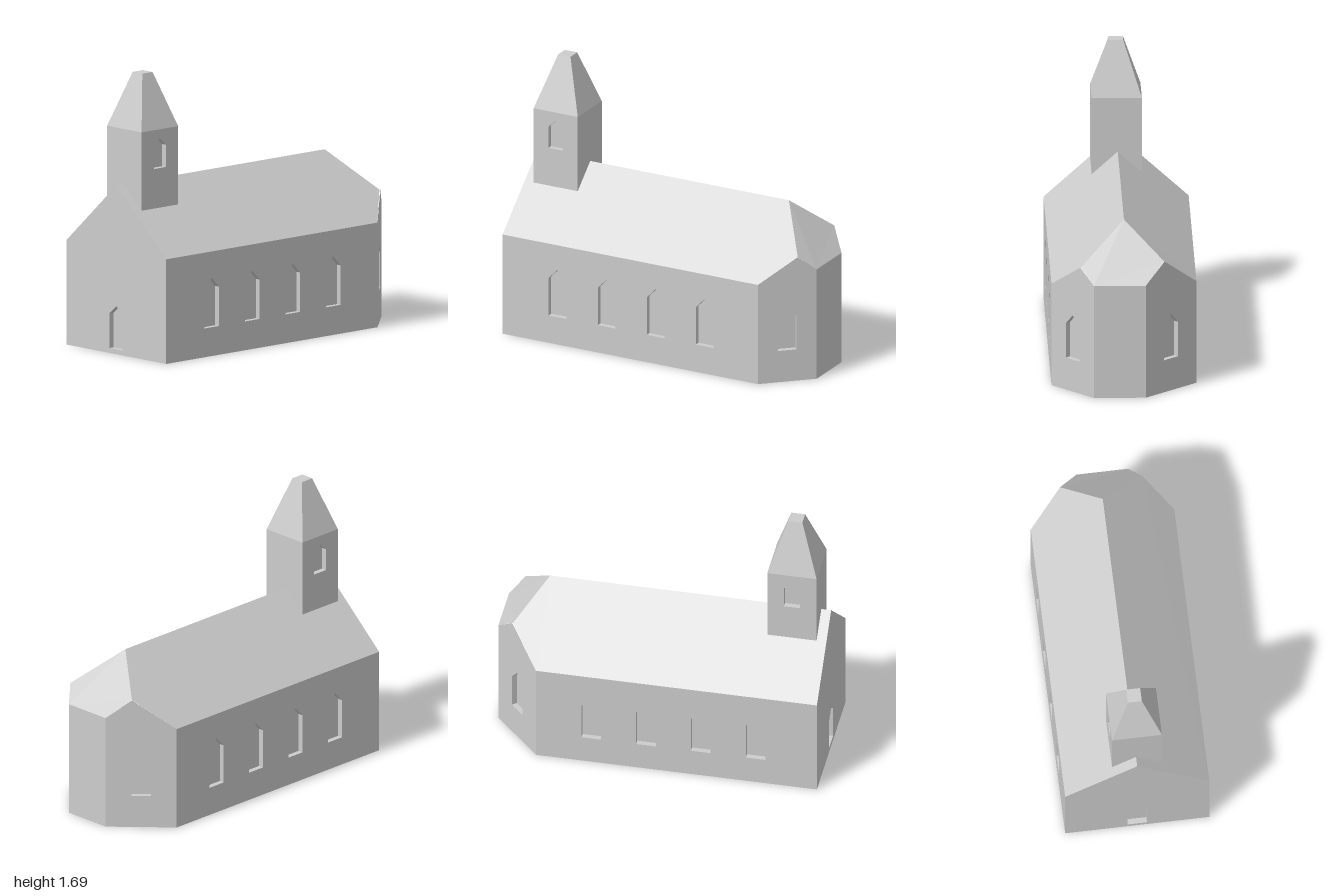
import * as THREE from 'three';

const stone = new THREE.MeshStandardMaterial({ color: 0xcccccc });
stone.name = 'paleStone';

const v3 = (p) => new THREE.Vector3(...p);

// Flat convex faces, corners counter-clockwise from outside
function faces(name, polygons) {
  const points = [];
  for (const poly of polygons)
    for (let i = 1; i < poly.length - 1; i++) points.push(v3(poly[0]), v3(poly[i]), v3(poly[i + 1]));
  const geometry = new THREE.BufferGeometry().setFromPoints(points);
  geometry.computeVertexNormals();
  const mesh = new THREE.Mesh(geometry, stone);
  mesh.name = name;
  return mesh;
}

// Pointed opening: centre, width, sill, shoulder and apex heights
const opening = (u, w, sill, shoulder, apex) =>
  [[u - w / 2, sill], [u + w / 2, sill], [u + w / 2, shoulder], [u, apex], [u - w / 2, shoulder]];

const toPath = (pts, Type) => new Type(pts.map(([u, v]) => new THREE.Vector2(u, v)));

// Upright wall from ground point a to b ([x, z]) with recessed openings
function wall(name, a, b, outline, openings = [], depth = 0.033) {
  const group = new THREE.Group();
  group.name = name;
  const shape = toPath(outline, THREE.Shape);
  shape.holes = openings.map((o) => toPath(o, THREE.Path));
  const face = new THREE.Mesh(new THREE.ShapeGeometry(shape), stone);
  face.name = 'wallFace';
  group.add(face);

  for (const o of openings) {
    const pane = new THREE.Mesh(new THREE.ShapeGeometry(toPath(o, THREE.Shape)), stone);
    pane.name = 'recessBack';
    pane.position.z = -depth;
    const reveal = faces('recessReveal', o.map((p, i) => {
      const q = o[(i + 1) % o.length];
      return [[...p, 0], [...q, 0], [...q, -depth], [...p, -depth]];
    }));
    group.add(pane, reveal);
  }
  group.position.set(a[0], 0, a[1]);
  group.rotation.y = Math.atan2(-(b[1] - a[1]), b[0] - a[0]);
  return group;
}

const dist = (a, b) => Math.hypot(b[0] - a[0], b[1] - a[1]);

function createNave() {
  const nave = new THREE.Group();
  nave.name = 'nave';
  const eave = 0.635, ridge = 1.025, apseTop = 0.7, half = 0.433;

  // Footprint, counter-clockwise from above
  const plan = [[-1, half], [0.735, half], [1, 0.187], [1, -0.123], [0.71, -half], [-1, -half]];
  const [A, B, C, D, E, F] = plan;
  // Points where the hip meets the main roof
  const hipF = [0.912, 0.79, 0.262], hipB = [0.89, 0.817, -0.235];
  const ridgeEnd = [0.71, ridge, 0], ridgeStart = [-1, ridge, 0];
  const at = ([x, z], y) => [x, y, z];

  // Side walls with four windows each
  const windowX = [-0.627, -0.293, 0.04, 0.373];
  const sideWindow = (u) => opening(u, 0.12, 0.175, 0.414, 0.477);
  const rect = (L) => [[0, 0], [L, 0], [L, eave], [0, eave]];
  nave.add(wall('frontWall', A, B, rect(dist(A, B)), windowX.map((x) => sideWindow(x + 1))));
  nave.add(wall('backWall', E, F, rect(dist(E, F)), windowX.map((x) => sideWindow(E[0] - x))));

  // Slanted apse walls, one window each, rising to the hip
  const lf = dist(B, C), uf = dist(B, [hipF[0], hipF[2]]);
  nave.add(wall('apseFrontWall', B, C, [[0, 0], [lf, 0], [lf, apseTop], [uf, hipF[1]], [0, eave]],
    [opening(lf / 2, 0.116, 0.2, 0.415, 0.477)]));
  const lb = dist(D, E), ub = dist(D, [hipB[0], hipB[2]]);
  nave.add(wall('apseBackWall', D, E, [[0, 0], [lb, 0], [lb, eave], [ub, hipB[1]], [0, apseTop]],
    [opening(lb / 2, 0.116, 0.2, 0.415, 0.477)]));
  const le = dist(C, D);
  nave.add(wall('apseEndWall', C, D, [[0, 0], [le, 0], [le, apseTop], [0, apseTop]]));

  // Gable wall with the door
  nave.add(wall('gableWall', F, A, [[0, 0], [2 * half, 0], [2 * half, eave], [half, ridge], [0, eave]],
    [opening(half, 0.118, 0.03, 0.24, 0.292)]));

  nave.add(faces('roof', [
    [at(A, eave), at(B, eave), hipF, ridgeEnd, ridgeStart],
    [at(E, eave), at(F, eave), ridgeStart, ridgeEnd, hipB],
    [at(C, apseTop), at(D, apseTop), hipB, ridgeEnd, hipF],
  ]));
  nave.add(faces('floor', [plan.map((p) => at(p, 0)).reverse()]));
  return nave;
}

function createTower() {
  const tower = new THREE.Group();
  tower.name = 'tower';
  const s = 0.15, t = 0.042, base = 0.87, top = 1.36, tip = 1.688;
  const square = (r) => [[-r, r], [r, r], [r, -r], [-r, -r]];
  const low = square(s), high = square(t);
  const outline = [[0, base], [2 * s, base], [2 * s, top], [0, top]];
  const spire = [];

  // Four sides; bell windows on front and back
  low.forEach((a, i) => {
    const j = (i + 1) % 4, b = low[j];
    const windows = i % 2 ? [] : [opening(s, 0.098, 1.125, 1.26, 1.305)];
    tower.add(wall(['towerFront', 'towerLeft', 'towerBack', 'towerRight'][i], a, b, outline, windows));
    spire.push([[a[0], top, a[1]], [b[0], top, b[1]], [high[j][0], tip, high[j][1]], [high[i][0], tip, high[i][1]]]);
  });
  spire.push(high.map(([x, z]) => [x, tip, z]));
  tower.add(faces('spire', spire));
  tower.position.set(-0.79, 0, 0.006);
  return tower;
}

export function createModel() {
  const chapel = new THREE.Group();
  chapel.name = 'chapel';
  chapel.add(createNave(), createTower());
  return chapel;
}
